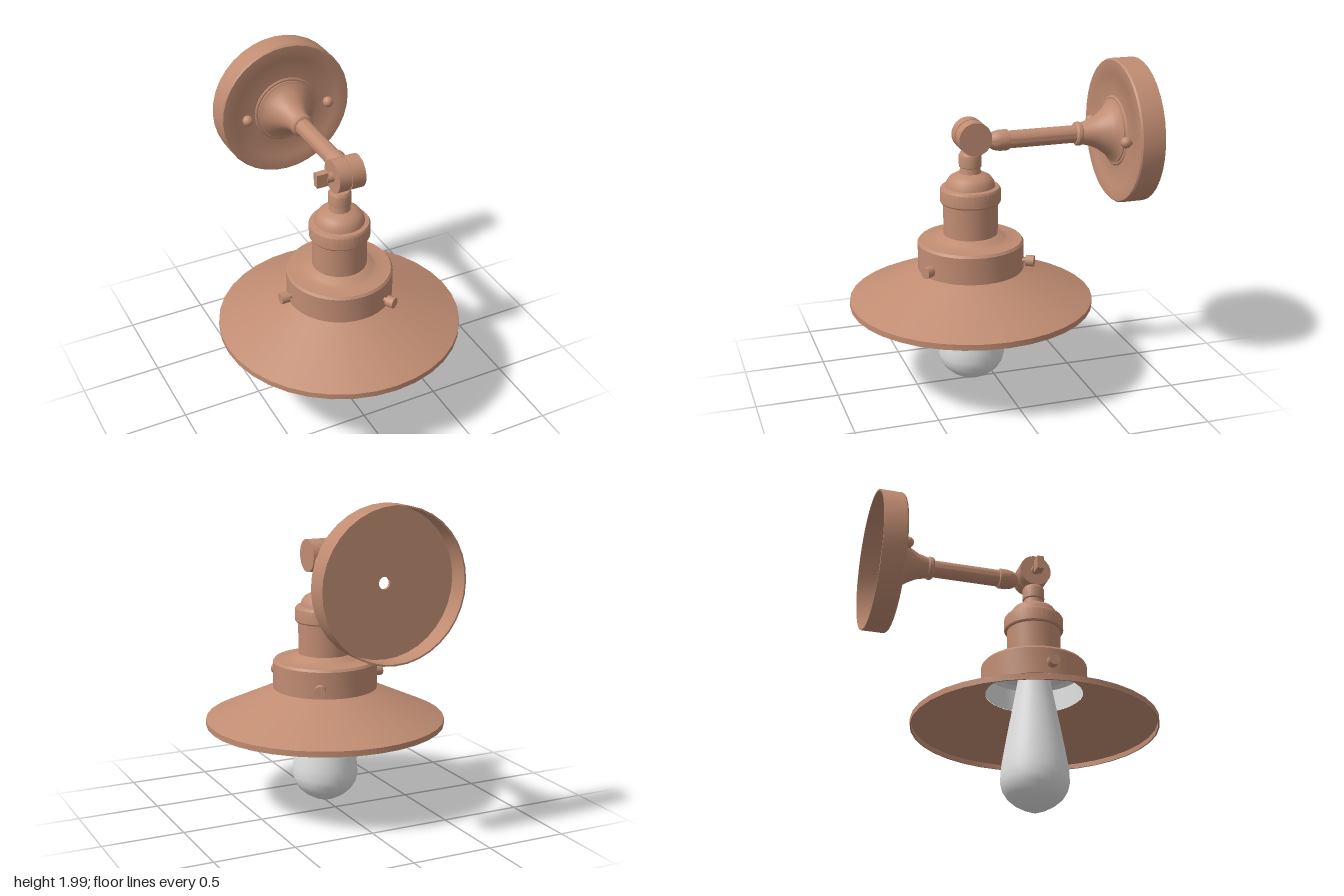
import * as THREE from 'three';
import { toCreasedNormals } from 'three/addons/utils/BufferGeometryUtils.js';

export function createModel() {
  const model = new THREE.Group();
  model.name = 'wallLamp';

  const copper = new THREE.MeshStandardMaterial({ color: 0xc08c72 });
  copper.name = 'copper';
  const white = new THREE.MeshStandardMaterial({ color: 0xe0e0e0 });
  white.name = 'frostedWhite';

  const add = (name, geometry, material, parent = model) => {
    const mesh = new THREE.Mesh(geometry, material);
    mesh.name = name;
    parent.add(mesh);
    return mesh;
  };
  // Turned shape; a profile running upwards faces outwards
  const turned = (profile, segments = 36) => toCreasedNormals(
    new THREE.LatheGeometry(profile.map(([r, y]) => new THREE.Vector2(r, y)), segments), 0.55);

  // Lamp head, turned about a vertical axis
  const head = new THREE.Group();
  head.name = 'lampHead';
  head.position.z = 0.147;
  model.add(head);

  add('shade', turned([
    [0.296, 0.755], [0.735, 0.56], [0.735, 0.53], [0.744, 0.53], [0.744, 0.565], [0.3, 0.765],
  ]), copper, head);

  add('shadeHolder', turned([
    [0.296, 0.757], [0.323, 0.757], [0.323, 0.922], [0.312, 0.937], [0.23, 0.942],
    [0.205, 0.952], [0.175, 0.972], [0.165, 0.975],
  ]), copper, head);

  add('socketBody', turned([
    [0.165, 0.95], [0.165, 1.172], [0.178, 1.172], [0.183, 1.18], [0.183, 1.255], [0.175, 1.268],
    [0.15, 1.272], [0.144, 1.3], [0.125, 1.328], [0.095, 1.345], [0.065, 1.355], [0.06, 1.39],
    [0.068, 1.395], [0.068, 1.465], [0.058, 1.482], [0, 1.487],
  ]), copper, head);

  add('reflector', turned([[0, 0.92], [0.275, 0.92], [0.295, 0.9], [0.295, 0.758]]), white, head);
  add('bulbSocket', new THREE.CylinderGeometry(0.105, 0.105, 0.1, 24).translate(0, 0.885, 0), white, head);
  add('bulb', turned([
    [0, 0.008], [0.025, 0.016], [0.075, 0.036], [0.125, 0.064], [0.168, 0.102], [0.194, 0.145],
    [0.205, 0.19], [0.203, 0.25], [0.195, 0.315], [0.177, 0.42], [0.157, 0.53], [0.125, 0.7],
    [0.1, 0.84],
  ], 32), white, head);

  // Three thumbscrews around the shade holder
  for (let i = 0; i < 3; i++) {
    const screw = new THREE.Group();
    screw.name = 'shadeScrew';
    screw.rotation.y = Math.PI / 3 + i * Math.PI * 2 / 3;
    head.add(screw);
    const part = (name, r, length, x) => add(name,
      new THREE.CylinderGeometry(r, r, length, 16).rotateZ(Math.PI / 2).translate(x, 0.82, 0), copper, screw);
    part('screwShaft', 0.014, 0.06, 0.33);
    part('screwHead', 0.034, 0.05, 0.369);
  }

  // Swivel joint: two discs side by side with a wing screw
  const joint = new THREE.Group();
  joint.name = 'swivelJoint';
  joint.position.set(0, 1.585, 0.147);
  model.add(joint);
  const disc = (name, r, x0, x1) => add(name,
    new THREE.CylinderGeometry(r, r, x1 - x0, 32).rotateZ(Math.PI / 2).translate((x0 + x1) / 2, 0, 0),
    copper, joint);
  disc('innerDisc', 0.1, -0.05, 0.026);
  disc('jointSpacer', 0.092, 0.02, 0.04);
  disc('outerDisc', 0.1, 0.034, 0.12);
  disc('wingScrewShaft', 0.03, -0.09, -0.05);
  add('wingScrew', new THREE.BoxGeometry(0.072, 0.085, 0.045).translate(-0.12, 0.003, 0), copper, joint);

  // Arm and wall plate, turned about the z axis
  const mount = new THREE.Group();
  mount.name = 'wallMount';
  mount.position.set(0.07, 1.557, 0);
  model.add(mount);
  const turnedZ = (profile) => turned(profile).rotateX(Math.PI / 2);

  add('arm', turnedZ([
    [0.195, -0.74], [0.195, -0.728], [0.175, -0.72], [0.14, -0.685], [0.105, -0.635], [0.08, -0.585],
    [0.065, -0.525], [0.072, -0.518], [0.072, -0.498], [0.063, -0.488], [0.053, -0.485],
    [0.053, -0.065], [0.063, -0.06], [0.063, -0.01], [0.055, 0.025], [0.035, 0.06], [0, 0.07],
  ]), copper, mount);

  add('wallPlate', turnedZ([
    [0.035, -0.755], [0.428, -0.755], [0.428, -0.885], [0.438, -0.885], [0.438, -0.745],
    [0.43, -0.735], [0.35, -0.735], [0.335, -0.742], [0.215, -0.742], [0.205, -0.735], [0.035, -0.735],
    [0.035, -0.755],
  ]), copper, mount);

  // Round-headed screws either side of the arm
  for (const side of [-1, 1]) {
    add('plateScrewHead', new THREE.SphereGeometry(0.034, 16, 12).translate(side * 0.277, 0, -0.705), copper, mount);
    add('plateScrewShaft', new THREE.CylinderGeometry(0.016, 0.016, 0.05, 12)
      .rotateX(Math.PI / 2).translate(side * 0.277, 0, -0.73), copper, mount);
  }

  return model;
}
